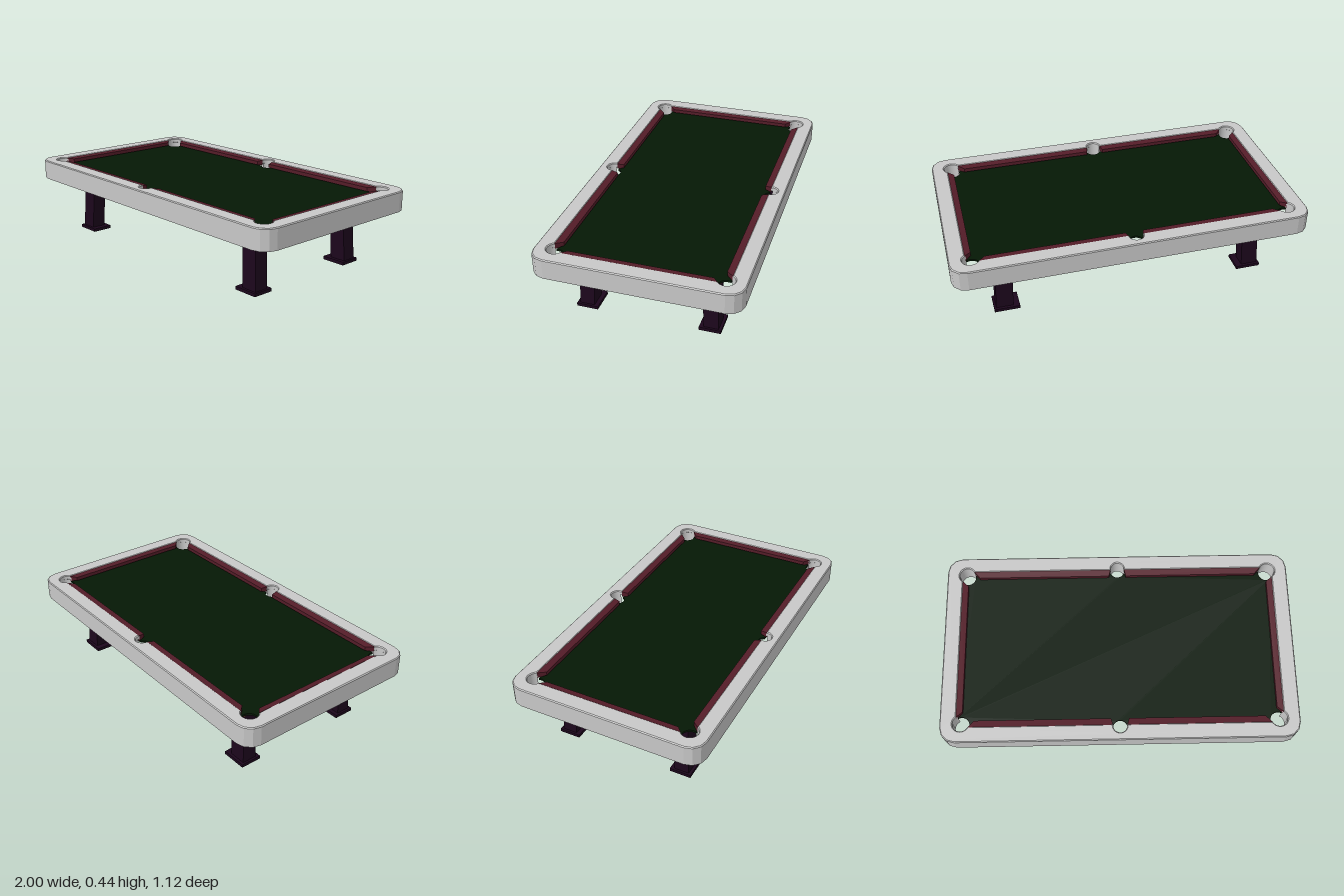
import * as THREE from 'three';

const material = (name, color, side = THREE.FrontSide) => {
  const m = new THREE.MeshStandardMaterial({ color, side });
  m.name = name;
  return m;
};

// Pocket centres and radii
const CORNER = { x: 0.885, z: 0.452, r: 0.045 };
const SIDE = { x: 0, z: 0.479, r: 0.039 };
const POCKETS = [[1, 1], [0, 1], [-1, 1], [-1, -1], [0, -1], [1, -1]];

// Rectangle whose edge swings around every pocket, outward or inward
function pocketOutline(path, hx, hz, inward) {
  for (const [sx, sz] of POCKETS) {
    const p = sx ? CORNER : SIDE;
    const dx = Math.sqrt(p.r ** 2 - (hz - p.z) ** 2);
    let enter, exit;
    if (sx) {
      const dz = Math.sqrt(p.r ** 2 - (hx - p.x) ** 2);
      const onEnd = [sx * (hx - p.x), -sz * dz];
      const onLong = [-sx * dx, sz * (hz - p.z)];
      [enter, exit] = sx * sz > 0 ? [onEnd, onLong] : [onLong, onEnd];
    } else {
      enter = [sz * dx, sz * (hz - p.z)];
      exit = [-sz * dx, sz * (hz - p.z)];
    }
    path.absarc(sx * p.x, sz * p.z, p.r, Math.atan2(enter[1], enter[0]), Math.atan2(exit[1], exit[0]), inward);
  }
  path.closePath();
  return path;
}

// Rectangle with three flat facets on each corner
function facetedRect(hx, hz, r) {
  const points = [];
  for (let corner = 0; corner < 4; corner++) {
    const cx = (corner === 0 || corner === 3 ? 1 : -1) * (hx - r);
    const cz = (corner < 2 ? 1 : -1) * (hz - r);
    for (let i = 0; i <= 3; i++) {
      const a = (corner + i / 3) * Math.PI / 2;
      points.push(new THREE.Vector2(cx + r * Math.cos(a), cz + r * Math.sin(a)));
    }
  }
  return points;
}

// Extrude a plan shape upward from y0 to y1
function slab(shape, y0, y1, bevel = 0) {
  const g = new THREE.ExtrudeGeometry(shape, {
    depth: y1 - y0 - 2 * bevel, curveSegments: 10, bevelEnabled: bevel > 0,
    bevelThickness: bevel, bevelSize: bevel, bevelOffset: -bevel, bevelSegments: 1,
  });
  return g.rotateX(-Math.PI / 2).translate(0, y0 + bevel, 0);
}

// Cushion with angled ends and an undercut nose
function cushionGeometry(back0, back1, nose0, nose1, width) {
  const shape = new THREE.Shape([
    new THREE.Vector2(back0, 0), new THREE.Vector2(back1, 0),
    new THREE.Vector2(nose1, width), new THREE.Vector2(nose0, width),
  ]);
  const g = slab(shape, 0.399, 0.432);
  const p = g.attributes.position;
  for (let i = 0; i < p.count; i++) {
    if (p.getZ(i) < -width / 2) p.setY(i, p.getY(i) > 0.415 ? 0.427 : 0.405);
  }
  g.computeVertexNormals();
  return g;
}

export function createModel() {
  const model = new THREE.Group();
  model.name = 'poolTable';
  const frameGrey = material('frame grey', 0xc8c8c8, THREE.DoubleSide);
  const clothGreen = material('cloth green', 0x051805);
  const cushionRed = material('cushion maroon', 0x541c28);
  const legPurple = material('leg dark purple', 0x1c061c);
  const wood = material('wood brown', 0xb87c4c);

  const add = (name, geometry, mat, x = 0, y = 0, z = 0) => {
    const mesh = new THREE.Mesh(geometry, mat);
    mesh.name = name;
    mesh.position.set(x, y, z);
    model.add(mesh);
    return mesh;
  };

  // Hollow rail frame: top deck plus outer skirt
  const deck = new THREE.Shape(facetedRect(1, 0.56, 0.085));
  deck.holes.push(pocketOutline(new THREE.Path(), 0.91, 0.472, false));
  add('railTop', slab(deck, 0.405, 0.435, 0.005), frameGrey);
  const skirt = new THREE.Shape(facetedRect(1, 0.56, 0.085));
  skirt.holes.push(new THREE.Path(facetedRect(0.99, 0.55, 0.075)));
  add('railSkirt', slab(skirt, 0.32, 0.428), frameGrey);

  // Playing bed
  add('bed', slab(pocketOutline(new THREE.Shape(), 0.907, 0.466, true), 0.386, 0.397), clothGreen);

  // Pocket liners, open toward the bed
  for (const [sx, sz] of POCKETS) {
    const p = sx ? CORNER : SIDE;
    const arc = sx ? 3.8 : Math.PI;
    const liner = new THREE.CylinderGeometry(p.r + 0.001, p.r + 0.001, 0.105, 14, 1, true,
      Math.atan2(sx, sz) - arc / 2, arc);
    add('pocketLiner', liner, frameGrey, sx * p.x, 0.3725, sz * p.z);
  }

  // Cushions: two on each long side, one on each end
  for (const s of [1, -1]) {
    for (const h of [1, -1]) {
      const long = cushionGeometry(h * 0.04, h * 0.845, h * 0.05, h * 0.81, 0.038);
      add('longCushion', long, cushionRed, 0, 0, s * 0.474).rotation.y = s > 0 ? 0 : Math.PI;
    }
    const end = cushionGeometry(-0.415, 0.415, -0.385, 0.385, 0.034);
    add('endCushion', end, cushionRed, s * 0.911, 0, 0).rotation.y = s * Math.PI / 2;
  }

  // Splayed legs with feet and wooden caps
  for (const sx of [1, -1]) {
    for (const sz of [1, -1]) {
      const leg = new THREE.BoxGeometry(0.096, 0.307, 0.083);
      const p = leg.attributes.position;
      for (let i = 0; i < p.count; i++) {
        const out = p.getY(i) < 0 ? 1 : 0;
        p.setX(i, p.getX(i) + sx * 0.016 * out);
        p.setZ(i, p.getZ(i) + sz * 0.011 * out);
      }
      leg.computeVertexNormals();
      add('leg', leg, legPurple, sx * 0.712, 0.1695, sz * 0.338);
      add('foot', new THREE.BoxGeometry(0.143, 0.018, 0.121), legPurple, sx * 0.716, 0.009, sz * 0.345);
      add('legCap', new THREE.BoxGeometry(0.14, 0.03, 0.125), wood, sx * 0.712, 0.338, sz * 0.338);
    }
    add('crossBeam', new THREE.BoxGeometry(0.06, 0.032, 0.506), legPurple, sx * 0.715, 0.222, 0);
  }

  // Long centre stretcher
  add('stretcher', new THREE.BoxGeometry(1.23, 0.041, 0.036), legPurple, 0, 0.1955, 0);

  return model;
}
